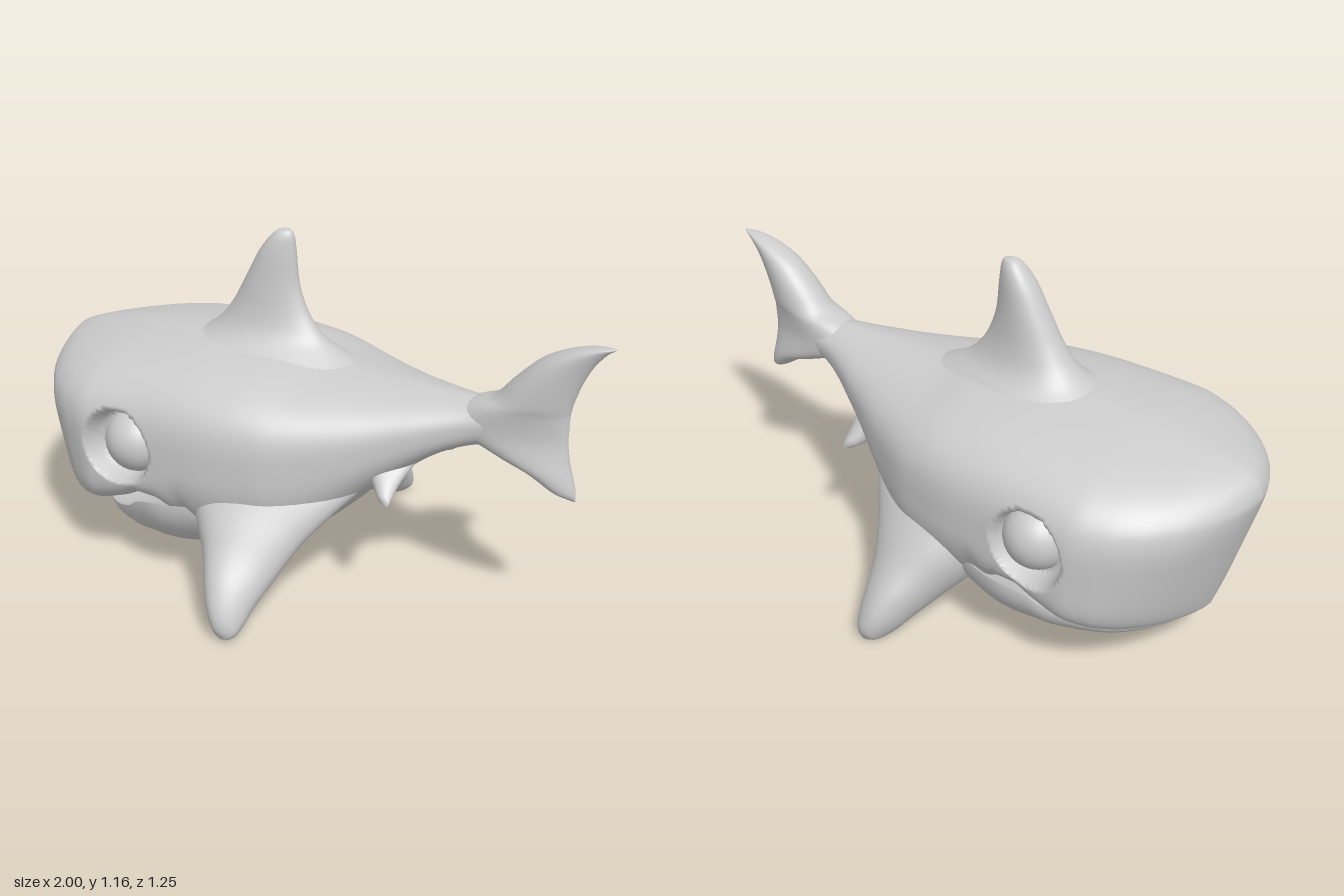
import * as THREE from 'three';
import { mergeVertices } from 'three/addons/utils/BufferGeometryUtils.js';

const material = new THREE.MeshStandardMaterial({ color: 0xcccccc, side: THREE.DoubleSide });
const { smoothstep } = THREE.MathUtils;

// Smooth monotone curve through [position, value] pairs
function curve(pts) {
  const n = pts.length;
  const d = pts.slice(1).map((p, i) => (p[1] - pts[i][1]) / (p[0] - pts[i][0]));
  const m = pts.map((p, i) => {
    if (i === 0) return d[0];
    if (i === n - 1) return d[n - 2];
    return d[i - 1] * d[i] <= 0 ? 0 : (2 * d[i - 1] * d[i]) / (d[i - 1] + d[i]);
  });
  return (x) => {
    let i = 0;
    while (i < n - 2 && x > pts[i + 1][0]) i++;
    const h = pts[i + 1][0] - pts[i][0];
    const t = THREE.MathUtils.clamp((x - pts[i][0]) / h, 0, 1);
    const t2 = t * t, t3 = t2 * t;
    return (2 * t3 - 3 * t2 + 1) * pts[i][1] + (t3 - 2 * t2 + t) * h * m[i]
      + (3 * t2 - 2 * t3) * pts[i + 1][1] + (t3 - t2) * h * m[i + 1];
  };
}

// Closed skin over a list of rings, always facing outward
function skin(name, rings) {
  const n = rings[0].length;
  const index = [];
  for (let i = 0; i < rings.length - 1; i++) {
    for (let j = 0; j < n; j++) {
      const a = i * n + j, a2 = i * n + (j + 1) % n;
      index.push(a, a2, a + n, a2, a2 + n, a + n);
    }
  }
  const pts = rings.flat();
  const cross = new THREE.Vector3();
  let volume = 0;
  for (let i = 0; i < index.length; i += 3) {
    volume += pts[index[i]].dot(cross.crossVectors(pts[index[i + 1]], pts[index[i + 2]]));
  }
  if (volume < 0) index.reverse();
  let geo = new THREE.BufferGeometry().setFromPoints(pts);
  geo.setIndex(index);
  geo = mergeVertices(geo, 1e-4);
  geo.computeVertexNormals();
  const mesh = new THREE.Mesh(geo, material);
  mesh.name = name;
  return mesh;
}

// Fin from stations [y, z, frontX, backX, halfThickness]; (ny, nz) is the thickness direction
function fin(name, stations, ny, nz, side = 1) {
  const f = [0, 1, 2, 3, 4].map((k) => curve(stations.map((s, i) => [i, s[k]])));
  const rings = [];
  for (let i = 0; i <= 40; i++) {
    const u = (i / 40) * (stations.length - 1);
    const [y, z, x0, x1, t] = f.map((g) => g(u));
    const ring = [];
    for (let j = 0; j < 36; j++) {
      const a = (j / 36) * Math.PI * 2, c = Math.cos(a);
      const h = t * Math.sin(a) * (1 - 0.25 * c);
      ring.push(new THREE.Vector3((x0 + x1) / 2 + (x1 - x0) / 2 * c, y + ny * h, side * (z + nz * h)));
    }
    rings.push(ring);
  }
  return skin(name, rings);
}

// Trunk and blunt head, with slanted snout and eye sockets
function makeBody() {
  const top = curve([[-1, 0.63], [-0.985, 0.67], [-0.95, 0.7], [-0.8, 0.743], [-0.55, 0.783], [-0.3, 0.8],
    [-0.1, 0.79], [0.1, 0.76], [0.3, 0.75], [0.6, 0.745], [0.75, 0.75], [0.82, 0.72]]);
  const bottom = curve([[-1, 0.18], [-0.8, 0.2], [-0.65, 0.225], [-0.5, 0.27], [-0.42, 0.305], [-0.36, 0.29],
    [-0.28, 0.18], [-0.2, 0.095], [-0.1, 0.105], [0, 0.15], [0.1, 0.22], [0.2, 0.31], [0.3, 0.41],
    [0.4, 0.49], [0.5, 0.56], [0.6, 0.6], [0.7, 0.62], [0.82, 0.7]]);
  const middle = curve([[-1, 0.45], [-0.2, 0.45], [0, 0.47], [0.2, 0.53], [0.4, 0.61], [0.6, 0.67], [0.82, 0.71]]);
  const width = curve([[-1, 0], [-0.995, 0.06], [-0.985, 0.11], [-0.965, 0.17], [-0.93, 0.245], [-0.88, 0.315],
    [-0.8, 0.39], [-0.7, 0.445], [-0.6, 0.47], [-0.4, 0.46], [-0.2, 0.45], [0, 0.41], [0.2, 0.31],
    [0.4, 0.19], [0.6, 0.09], [0.75, 0.06], [0.82, 0]]);
  // squareness of the section above and below its widest line
  const upperN = curve([[-1, 3], [-0.6, 3.8], [-0.1, 3.8], [0.4, 2.4], [0.82, 2]]);
  const lowerN = curve([[-1, 5], [-0.42, 5], [-0.24, 2], [-0.05, 2.2], [0.2, 2.8], [0.45, 2.8], [0.82, 2]]);
  const rings = [];
  for (let i = 0; i <= 170; i++) {
    const s = -1 + 1.82 * (i / 170) ** 1.4;
    const mid = middle(s), w = width(s);
    const tilt = 0.28 * (1 - smoothstep(s, -1, -0.4));
    const ring = [];
    for (let j = 0; j < 160; j++) {
      const a = (j / 160) * Math.PI * 2, c = Math.cos(a), sn = Math.sin(a);
      const n = sn > 0 ? upperN(s) : lowerN(s);
      const r = (Math.abs(c) ** n + Math.abs(sn) ** n) ** (-1 / n);
      // back slopes down gently from the spine
      const slope = 1 - 0.2 * (Math.sqrt((r * c) ** 2 + 0.01) - 0.1);
      const y = mid + r * sn * (sn > 0 ? (top(s) - mid) * slope : mid - bottom(s));
      const x = s + tilt * Math.max(0, 0.62 - y);
      let z = w * r * c;
      // eye socket recess
      if (Math.abs(z) > 0.28) {
        const dist = Math.hypot(x + 0.475, y - 0.492);
        z -= Math.sign(z) * 0.075 * (1 - smoothstep(dist, 0.108, 0.126));
      }
      ring.push(new THREE.Vector3(x, y, z));
    }
    rings.push(ring);
  }
  return skin('body', rings);
}

// Lower jaw: a rounded bowl with a hollowed top that runs into the belly
function makeJaw() {
  const lip = curve([[-0.82, 0.145], [-0.7, 0.16], [-0.6, 0.19], [-0.5, 0.24], [-0.44, 0.285], [-0.36, 0.31], [0, 0.34]]);
  const bottom = curve([[-0.82, 0.135], [-0.78, 0.108], [-0.7, 0.075], [-0.6, 0.055], [-0.5, 0.045],
    [-0.4, 0.04], [-0.3, 0.052], [-0.2, 0.085], [-0.1, 0.12], [0, 0.25]]);
  const width = curve([[-0.82, 0], [-0.81, 0.07], [-0.78, 0.135], [-0.72, 0.21], [-0.65, 0.28], [-0.55, 0.35],
    [-0.45, 0.41], [-0.35, 0.435], [-0.25, 0.42], [-0.1, 0.34], [0, 0]]);
  const rings = [];
  for (let i = 0; i <= 60; i++) {
    const s = -0.82 + 0.82 * (i / 60) ** 1.3;
    const edge = lip(s), depth = edge - bottom(s), w = width(s);
    const ring = [];
    for (let j = 0; j < 64; j++) {
      const a = (j / 64) * Math.PI * 2, sn = Math.sin(a);
      const y = sn > 0 ? edge - 0.5 * depth * sn * sn : edge + depth * sn;
      ring.push(new THREE.Vector3(s, y, w * Math.cos(a)));
    }
    rings.push(ring);
  }
  return skin('lowerJaw', rings);
}

export function createModel() {
  const group = new THREE.Group();
  group.name = 'shark';
  group.add(makeBody(), makeJaw());

  // Dorsal fin with a flared root
  group.add(fin('dorsalFin', [
    [0.73, 0, -0.54, 0.2, 0.2], [0.775, 0, -0.45, 0.1, 0.15], [0.81, 0, -0.39, 0.04, 0.112],
    [0.85, 0, -0.345, 0.0, 0.088], [0.91, 0, -0.3, -0.038, 0.072], [1.0, 0, -0.25, -0.066, 0.06],
    [1.09, 0, -0.2, -0.074, 0.048], [1.14, 0, -0.16, -0.08, 0.033], [1.16, 0, -0.135, -0.09, 0.018],
    [1.165, 0, -0.115, -0.105, 0],
  ], 0, 1));

  // Crescent tail fin, its root buried in the trunk
  group.add(fin('tailFin', [
    [0.472, 0, 0.9, 0.915, 0], [0.5, 0, 0.84, 0.912, 0.035], [0.55, 0, 0.76, 0.898, 0.06],
    [0.6, 0, 0.62, 0.885, 0.075], [0.67, 0, 0.46, 0.876, 0.08], [0.74, 0, 0.56, 0.876, 0.078],
    [0.77, 0, 0.635, 0.88, 0.076], [0.84, 0, 0.7, 0.9, 0.068], [0.92, 0, 0.785, 0.938, 0.052],
    [0.965, 0, 0.88, 0.975, 0.033], [0.98, 0, 0.94, 0.995, 0.018], [0.985, 0, 0.985, 1.0, 0],
  ], 0, 1));

  for (const side of [1, -1]) {
    const label = side > 0 ? 'left' : 'right';
    group.add(fin(label + 'PectoralFin', [
      [0.47, 0.14, -0.38, 0.32, 0.1], [0.37, 0.26, -0.32, 0.23, 0.125], [0.27, 0.36, -0.23, 0.155, 0.122],
      [0.18, 0.445, -0.14, 0.112, 0.11], [0.12, 0.52, -0.085, 0.09, 0.09], [0.075, 0.565, -0.05, 0.08, 0.07],
      [0.045, 0.592, -0.02, 0.07, 0.047], [0.03, 0.605, 0.0, 0.055, 0.025], [0.022, 0.61, 0.02, 0.04, 0],
    ], 0.75, 0.66, side));
    group.add(fin(label + 'PelvicFin', [
      [0.58, 0.03, 0.1, 0.48, 0.06], [0.51, 0.12, 0.22, 0.42, 0.048], [0.46, 0.19, 0.32, 0.405, 0.03],
      [0.43, 0.228, 0.365, 0.404, 0.014], [0.42, 0.238, 0.39, 0.4, 0],
    ], 0.81, 0.58, side));
    const eye = new THREE.Mesh(new THREE.SphereGeometry(0.108, 40, 28), material);
    eye.name = label + 'Eye';
    eye.position.set(-0.458, 0.492, side * 0.362);
    group.add(eye);
  }
  return group;
}
